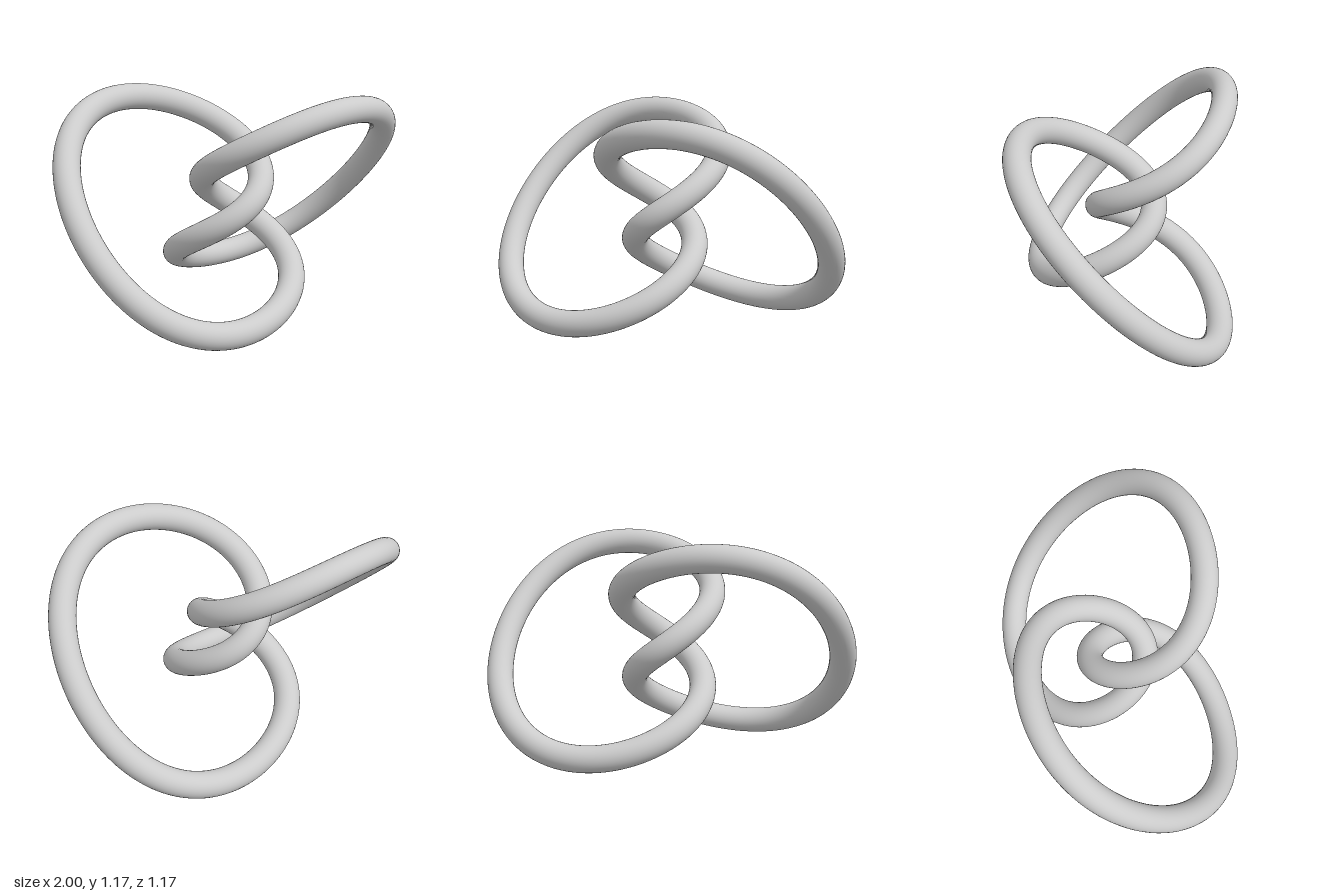
import * as THREE from 'three';

const TUBE_RADIUS = 0.07;
const CENTRE_HEIGHT = 0.59;

// Closed trefoil path with half-turn symmetry about all three axes
class TrefoilPath extends THREE.Curve {
  getPoint(u, target = new THREE.Vector3()) {
    const t = u * Math.PI * 2;
    const c = Math.cos(t);
    const s = Math.sin(t);
    const s2 = s * s;
    return target.set(
      c * (-0.8 + 1.73 * c * c),
      CENTRE_HEIGHT + 0.477 * Math.sin(2 * t) + 0.113 * Math.sin(4 * t) + 0.0134 * Math.sin(6 * t),
      s * (1.45 + s2 * (-2.009 + s2 * (1.288 - 0.879 * s2)))
    );
  }
}

export function createModel() {
  const group = new THREE.Group();
  group.name = 'trefoilKnot';

  // One continuous round tube swept along the path
  const path = new TrefoilPath();
  path.arcLengthDivisions = 1000;
  const tube = new THREE.Mesh(
    new THREE.TubeGeometry(path, 400, TUBE_RADIUS, 32, true),
    new THREE.MeshStandardMaterial({ color: 0xcccccc })
  );
  tube.name = 'knotTube';
  group.add(tube);
  return group;
}
